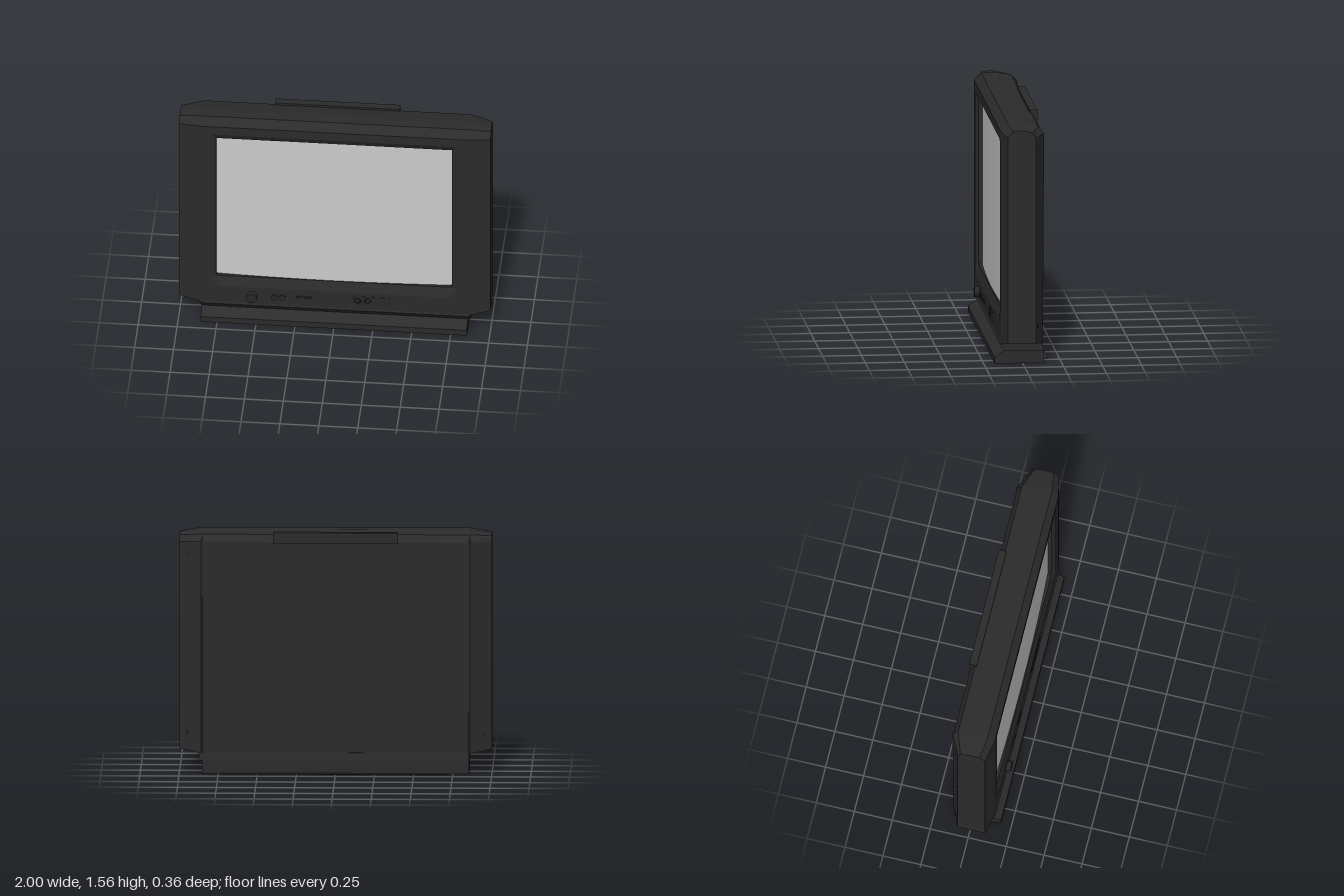
import * as THREE from 'three';

const dark = new THREE.MeshStandardMaterial({ color: 0x2b2b2b, flatShading: true });
const darkRound = new THREE.MeshStandardMaterial({ color: 0x282828 });
const glass = new THREE.MeshStandardMaterial({ color: 0xc6c6c6 });

// Skin a row of closed loops with quads; optionally cap the ends or skip some quads
function loft(sections, { caps = false, skip = () => false } = {}) {
  const pos = [];
  const tri = (...pts) => pts.forEach(p => pos.push(...p));
  const n = sections[0].length;
  for (let i = 0; i < sections.length - 1; i++) {
    for (let j = 0; j < n; j++) {
      if (skip(i, j)) continue;
      const k = (j + 1) % n;
      const [a, b, c, d] = [sections[i][j], sections[i][k], sections[i + 1][j], sections[i + 1][k]];
      tri(a, c, d);
      tri(a, d, b);
    }
  }
  if (caps) {
    const first = sections[0], last = sections[sections.length - 1];
    for (let j = 1; j < n - 1; j++) {
      tri(first[0], first[j], first[j + 1]);
      tri(last[0], last[j + 1], last[j]);
    }
  }
  const g = new THREE.BufferGeometry();
  g.setAttribute('position', new THREE.Float32BufferAttribute(pos, 3));
  g.computeVertexNormals();
  return g;
}

// Rectangle with cut corners, counter-clockwise
function cutRect(x0, x1, y0, y1, low, high) {
  return [
    [x0 + low, y0], [x1 - low, y0], [x1, y0 + low], [x1, y1 - high],
    [x1 - high, y1], [x0 + high, y1], [x0, y1 - high], [x0, y0 + low],
  ];
}

// Horizontal capsule outline
function pill(w, h) {
  const r = h / 2, s = new THREE.Shape();
  s.absarc(w / 2 - r, 0, r, -Math.PI / 2, Math.PI / 2);
  s.absarc(-w / 2 + r, 0, r, Math.PI / 2, Math.PI * 1.5);
  return s;
}

export function createModel() {
  const model = new THREE.Group();
  const add = (name, geo, mat, x = 0, y = 0, z = 0) => {
    const m = new THREE.Mesh(geo, mat);
    m.name = name;
    m.position.set(x, y, z);
    model.add(m);
    return m;
  };

  // Cabinet shell: side profiles [z, y] placed along x; the top falls away behind the seam
  const end = [[0.11, 0.155], [0.11, 1.5], [0.075, 1.54], [0.012, 1.543], [-0.05, 1.53], [-0.07, 1.49], [-0.07, 0.155]];
  const shoulder = [[0.14, 0.13], [0.14, 1.51], [0.095, 1.56], [0.012, 1.56], [-0.1, 1.542], [-0.137, 1.5], [-0.13, 0.13]];
  const panel = [[0.14, 0.13], [0.14, 1.51], [0.095, 1.56], [0.012, 1.56], [-0.1, 1.542], [-0.13, 1.495], [-0.123, 0.13]];
  const stations = [[-1, end], [-0.86, shoulder], [-0.85, panel], [0.85, panel], [0.86, shoulder], [1, end]];
  add('cabinet', loft(
    stations.map(([x, prof]) => prof.map(([z, y]) => [x, y, z])),
    { caps: true, skip: (i, j) => j === 0 && i > 0 && i < 4 },
  ), dark);

  // Front face with the screen opening
  const opening = cutRect(-0.8, 0.79, 0.26, 1.45, 0.06, 0.015);
  const face = new THREE.Shape([[-0.86, 0.13], [0.86, 0.13], [0.86, 1.51], [-0.86, 1.51]]
    .map(p => new THREE.Vector2(...p)));
  face.holes.push(new THREE.Path(opening.map(p => new THREE.Vector2(...p))));
  add('frontFace', new THREE.ShapeGeometry(face), dark, 0, 0, 0.14);

  // Sloped bezel running into the opening
  const inner = cutRect(-0.76, 0.755, 0.33, 1.41, 0.008, 0.004);
  add('screenBezel', loft([
    inner.map(([x, y]) => [x, y, 0.08]),
    inner.map(([x, y]) => [x, y, 0.12]),
    opening.map(([x, y]) => [x, y, 0.14]),
  ]), dark);

  // Gently bowed screen
  const screenGeo = new THREE.PlaneGeometry(1.515, 1.08, 24, 1);
  const p = screenGeo.attributes.position;
  for (let i = 0; i < p.count; i++) p.setZ(i, -0.02 * (p.getX(i) / 0.76) ** 2);
  screenGeo.computeVertexNormals();
  add('screen', screenGeo, glass, -0.0025, 0.87, 0.115);

  // Foot: notched profile running the full width, and a thin plate behind it
  const foot = [[0.18, 0], [0.18, 0.04], [0.115, 0.085], [-0.135, 0.085], [-0.135, 0]];
  const neck = [[0.115, 0.085], [0.145, 0.125], [0.14, 0.135], [-0.125, 0.135], [-0.135, 0.085]];
  for (const [name, prof, x0, x1] of [['foot', foot, -0.855, 0.855], ['neck', neck, -0.855, 0.875]]) {
    add(name, loft([x0, x1].map(x => prof.map(([z, y]) => [x, y, z])), { caps: true }), dark);
  }
  add('footPlate', new THREE.BoxGeometry(1.44, 0.004, 0.045), dark, 0, 0.002, -0.155);

  // Raised grip in the middle of the rear top edge
  add('rearGrip', new THREE.BoxGeometry(0.8, 0.068, 0.05), dark, 0, 1.524, -0.115);

  // Screws in the rear side flanges
  const slope = Math.atan2(0.065, 0.14);
  for (const s of [-1, 1]) {
    for (const y of [0.26, 1.41]) {
      const screw = add('screw', new THREE.CylinderGeometry(0.012, 0.012, 0.006, 12), darkRound,
        s * 0.955, y, -0.09);
      screw.rotation.set(Math.PI / 2, 0, s * slope);
    }
  }

  // Front controls
  const button = (name, x, r, depth, y = 0.195) => {
    add(name, new THREE.CylinderGeometry(r, r, depth, 24), darkRound, x, y, 0.138 + depth / 2)
      .rotation.x = Math.PI / 2;
  };
  const plate = (name, x, y, w, h, depth) => add(name,
    new THREE.ExtrudeGeometry(pill(w, h), { depth, bevelEnabled: false, curveSegments: 8 }),
    darkRound, x, y, 0.138);
  button('powerButton', -0.53, 0.034, 0.034);
  for (const x of [-0.385, -0.333]) button('smallButton', x, 0.02, 0.01);
  plate('keyStrip', -0.197, 0.2, 0.105, 0.026, 0.006);
  for (let i = 0; i < 4; i++) button('key', -0.234 + i * 0.0247, 0.009, 0.01, 0.2);
  plate('socketPlate', 0.24, 0.2, 0.26, 0.07, 0.004);
  for (const x of [0.15, 0.213]) {
    add('socketRing', new THREE.TorusGeometry(0.018, 0.004, 6, 20), darkRound, x, 0.2, 0.142);
  }

  return model;
}
